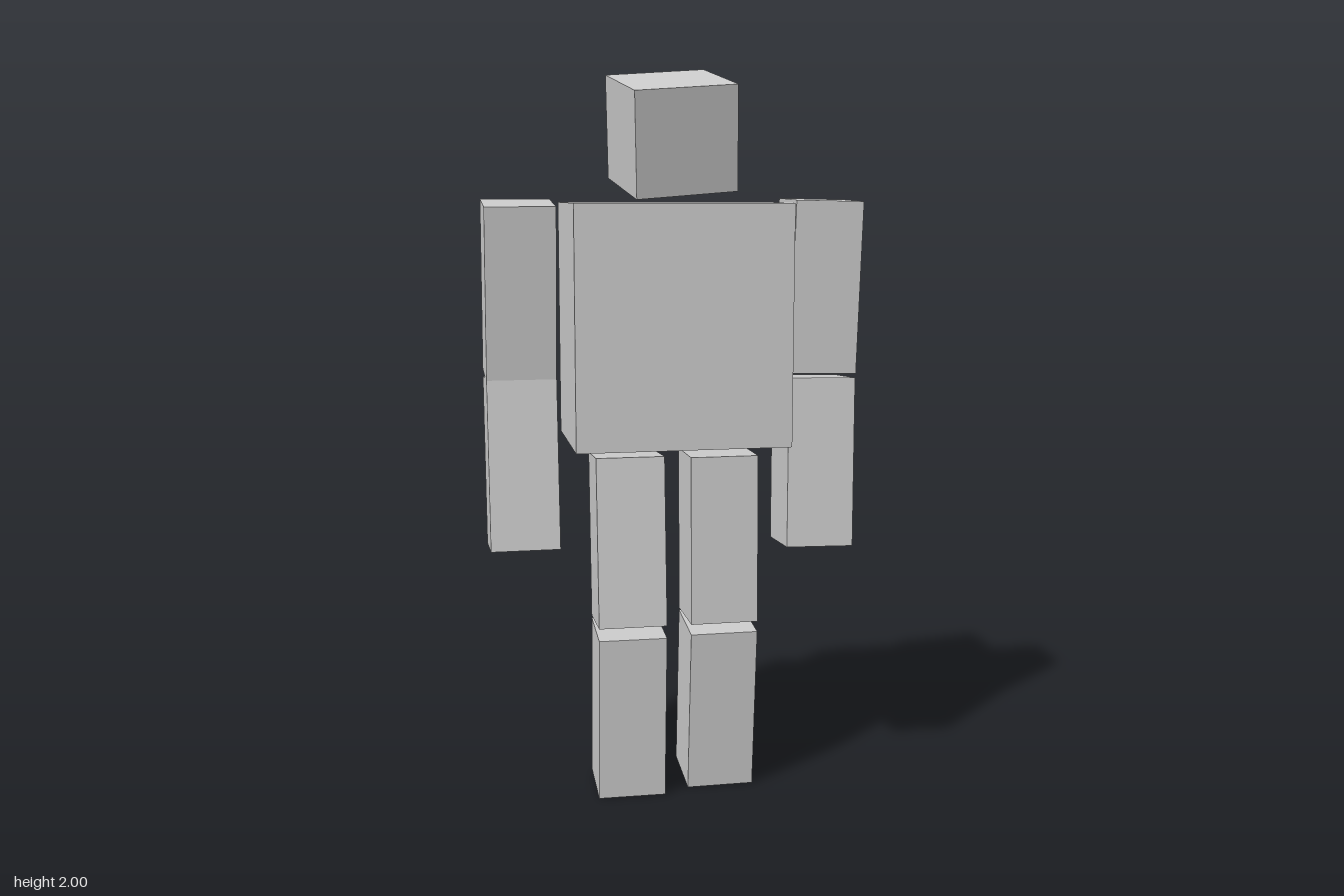
import * as THREE from 'three';

const LIMB = [0.187, 0.467, 0.187];

// name, size, centre, rotation (radians, XYZ order)
const PARTS = [
  ['torso', [0.58, 0.645, 0.385], [0, 1.323, -0.012], [0, 0, 0]],
  ['head', [0.277, 0.277, 0.277], [-0.01, 1.828, 0.02], [0.21, 0.135, 0.05]],
  // arms
  ['leftUpperArm', LIMB, [0.408, 1.419, -0.015], [0.02, 0, -0.022]],
  ['leftForearm', LIMB, [0.396, 0.932, 0], [-0.077, 0, -0.02]],
  ['rightUpperArm', LIMB, [-0.417, 1.413, -0.037], [0.103, 0, 0]],
  ['rightForearm', LIMB, [-0.417, 0.945, -0.037], [-0.103, 0, 0]],
  // legs
  ['leftThigh', LIMB, [0.127, 0.727, -0.004], [-0.025, 0, 0]],
  ['leftShin', LIMB, [0.127, 0.243, -0.023], [0.1, 0, 0]],
  ['rightThigh', LIMB, [-0.13, 0.727, 0], [-0.08, -0.015, 0]],
  ['rightShin', LIMB, [-0.13, 0.24, 0.002], [0.067, -0.015, 0]],
];

export function createModel() {
  const model = new THREE.Group();
  model.name = 'blockFigure';
  const material = new THREE.MeshStandardMaterial({ color: 0xcccccc, flatShading: true });
  for (const [name, size, position, rotation] of PARTS) {
    const mesh = new THREE.Mesh(new THREE.BoxGeometry(...size), material);
    mesh.name = name;
    mesh.position.set(...position);
    mesh.rotation.set(...rotation);
    model.add(mesh);
  }
  return model;
}
